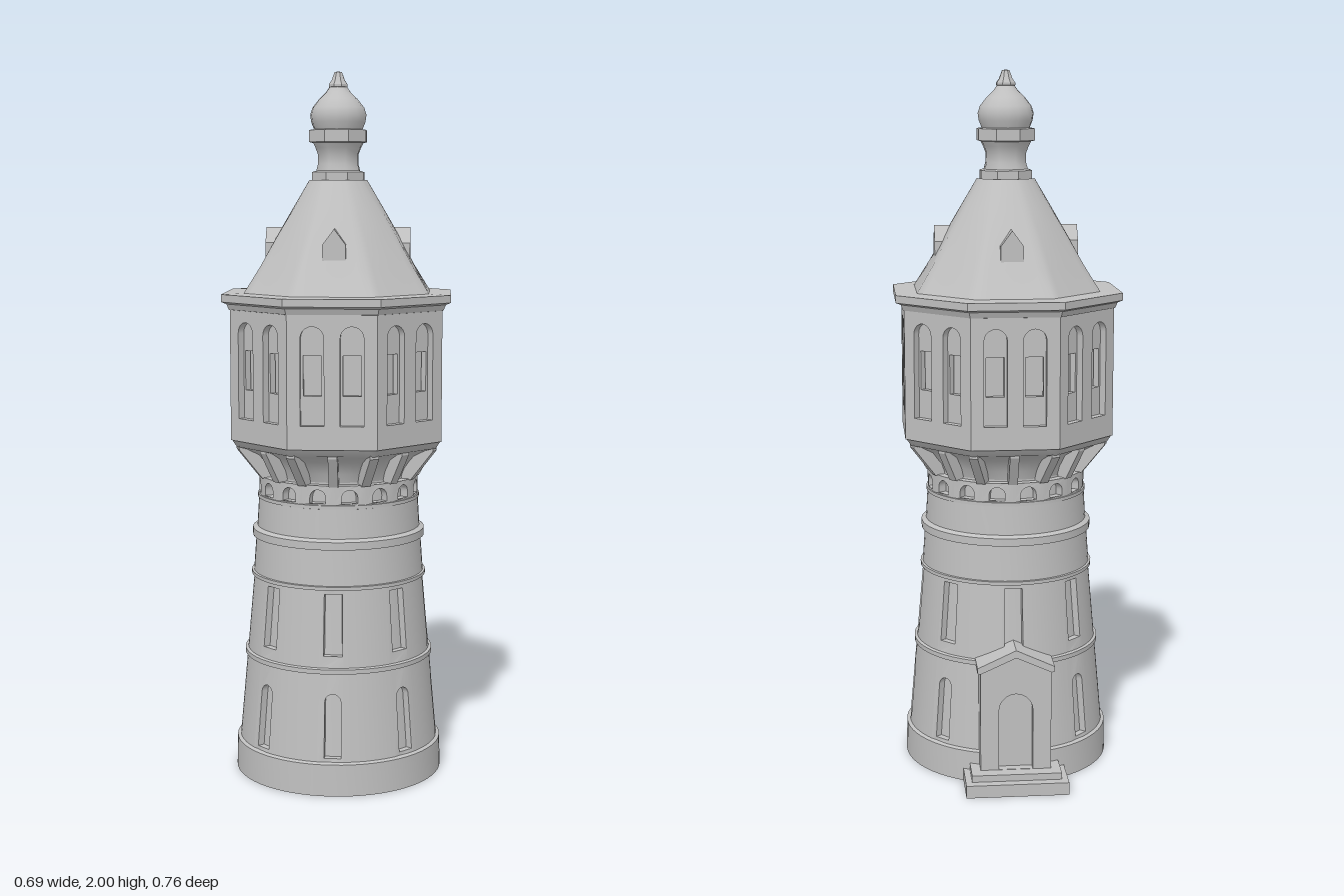
import * as THREE from 'three';
import { toCreasedNormals } from 'three/addons/utils/BufferGeometryUtils.js';

const stone = new THREE.MeshStandardMaterial({ color: 0xc0c0c0 });
stone.name = 'stone grey';
const STEP = Math.PI / 4, HALF = STEP / 2;

function add(parent, name, geometry, crease = 0.5) {
  const mesh = new THREE.Mesh(toCreasedNormals(geometry, crease), stone);
  mesh.name = name;
  parent.add(mesh);
  return mesh;
}

// Turned form; each profile point is [radius, y, k], k = 0 round to 1 octagonal
function turned(profile, segments = 64, start = 0, length = Math.PI * 2) {
  const g = new THREE.LatheGeometry(profile.map(p => new THREE.Vector2(p[0], p[1])), segments, start, length);
  const pos = g.attributes.position;
  for (let i = 0; i < pos.count; i++) {
    const k = profile[i % profile.length][2] || 0;
    if (!k) continue;
    const x = pos.getX(i), z = pos.getZ(i);
    const a = (Math.atan2(x, z) + Math.PI * 4) % STEP;
    const s = 1 - k + k * Math.cos(HALF) / Math.cos(a - HALF);
    pos.setX(i, x * s);
    pos.setZ(i, z * s);
  }
  return g;
}

const polygon = pts => new THREE.Shape(pts.map(p => new THREE.Vector2(p[0], p[1])));

// Opening with a round or flat head
function opening(cx, w, y0, y1, round = true) {
  const h = w / 2, pts = [[cx - h, y0], [cx + h, y0]];
  if (round) for (let i = 0; i <= 10; i++) {
    const a = Math.PI * i / 10;
    pts.push([cx + h * Math.cos(a), y1 - h + h * Math.sin(a)]);
  }
  else pts.push([cx + h, y1], [cx - h, y1]);
  return new THREE.Path(pts.map(p => new THREE.Vector2(p[0], p[1])));
}

// Flat extrusion whose front lies at z = front
function slab(shape, front, depth, holes = []) {
  shape.holes.push(...holes);
  return new THREE.ExtrudeGeometry(shape, { depth, bevelEnabled: false }).translate(0, 0, front - depth);
}

const rect = (w, y0, y1) => polygon([[-w / 2, y0], [w / 2, y0], [w / 2, y1], [-w / 2, y1]]);

// Panel with an opening, bent round the tower's tapering wall
function bentPanel(r0, r1, y0, y1, half, depth, hole) {
  const rm = (r0 + r1) / 2, n = 8, pts = [];
  for (let i = 0; i <= n; i++) pts.push([rm * half * (2 * i / n - 1), y0]);
  for (let i = n; i >= 0; i--) pts.push([rm * half * (2 * i / n - 1), y1]);
  const g = slab(polygon(pts), 0, depth, [hole]);
  const pos = g.attributes.position;
  for (let i = 0; i < pos.count; i++) {
    const y = pos.getY(i), a = pos.getX(i) / rm;
    const r = r0 + (r1 - r0) * (y - y0) / (y1 - y0) + pos.getZ(i);
    pos.setXYZ(i, r * Math.sin(a), y, r * Math.cos(a));
  }
  return g;
}

// Round storey with eight recessed windows
function windowStorey(parent, name, r0, r1, y0, y1, makeHole) {
  const half = 0.15, depth = 0.02;
  const storey = new THREE.Group();
  storey.name = name;
  parent.add(storey);
  add(storey, 'windowBack', turned([[r0 - depth, y0], [r1 - depth, y1]]));
  for (let i = 0; i < 8; i++) {
    const a = HALF + i * STEP;
    add(storey, 'windowPanel', bentPanel(r0, r1, y0, y1, half, depth, makeHole())).rotation.y = a;
    add(storey, 'wall', turned([[r0, y0], [r1, y1]], 8, a + half, STEP - 2 * half));
  }
}

function buildShaft(tower) {
  add(tower, 'plinth', turned([[0, 0], [0.298, 0], [0.296, 0.09], [0.286, 0.095], [0.26, 0.095]]));
  windowStorey(tower, 'lowerStorey', 0.287, 0.264, 0.09, 0.345, () => opening(0, 0.046, 0.105, 0.285));
  add(tower, 'lowerBand', turned([[0.25, 0.34], [0.271, 0.342], [0.271, 0.355], [0.25, 0.362]]));
  windowStorey(tower, 'upperStorey', 0.263, 0.243, 0.355, 0.58, () => opening(0, 0.052, 0.39, 0.563, false));
  add(tower, 'middleBand', turned([[0.23, 0.573], [0.251, 0.575], [0.251, 0.585], [0.23, 0.588]]));
  add(tower, 'upperWall', turned([[0.245, 0.58], [0.237, 0.69]]));
  add(tower, 'upperBand', turned([[0.23, 0.685], [0.247, 0.688], [0.247, 0.71], [0.234, 0.717], [0.229, 0.8]]));
  add(tower, 'arcadeSill', turned([[0.22, 0.797], [0.232, 0.8], [0.232, 0.81], [0.2, 0.812]]));
}

function buildCorbels(tower) {
  // Small blind arcade
  add(tower, 'arcadeBack', turned([[0.205, 0.805], [0.205, 0.87]]));
  for (let i = 0; i < 16; i++) {
    add(tower, 'arcadeArch', bentPanel(0.228, 0.228, 0.81, 0.865, HALF / 2, 0.025,
      opening(0, 0.046, 0.815, 0.853))).rotation.y = (i + 0.5) * HALF;
  }
  // Flare from round shaft to octagonal drum
  add(tower, 'flare', turned([[0.2, 0.86, 0], [0.215, 0.895, 0.3], [0.245, 0.93, 0.8],
    [0.28, 0.948, 1], [0.303, 0.955, 1], [0.32, 0.98, 1], [0.27, 0.985, 1]]), 0.7);
  for (let i = 0; i < 16; i++) {
    const s = i % 2 ? 0.93 : 1;
    const side = polygon([[0.19, 0.862], [0.232, 0.862], [0.3 * s, 0.948], [0.3 * s, 0.962], [0.19, 0.962]]);
    const g = slab(side, 0.013, 0.026).rotateY(-Math.PI / 2);
    add(tower, 'bracket', g).rotation.y = i * HALF;
  }
}

function buildDrum(tower) {
  const R = 0.32, front = R * Math.cos(HALF), w = 2 * R * Math.sin(HALF);
  add(tower, 'drumCore', turned([[0.274, 0.97, 1], [0.274, 1.36, 1]]));
  for (let i = 0; i < 8; i++) {
    const face = new THREE.Group();
    face.name = 'drumFace';
    face.rotation.y = HALF + i * STEP;
    tower.add(face);
    add(face, 'archedWall', slab(rect(w, 0.975, 1.35), front, 0.02,
      [-0.054, 0.054].map(x => opening(x, 0.064, 1.04, 1.31))));
    add(face, 'windowWall', slab(rect(w * 0.92, 0.98, 1.35), front - 0.02, 0.018,
      [-0.054, 0.054].map(x => opening(x, 0.05, 1.12, 1.23, false))));
  }
  add(tower, 'eave', turned([[0.3, 1.338, 1], [0.323, 1.342, 1], [0.33, 1.358, 1], [0.345, 1.364, 1],
    [0.345, 1.385, 1], [0.27, 1.387, 1]]));
}

function buildRoof(tower) {
  add(tower, 'roof', turned([[0.28, 1.386, 1], [0.231, 1.46, 0.85], [0.183, 1.54, 0.6],
    [0.132, 1.62, 0.35], [0.082, 1.7, 0.1]]), 0.8);
  for (let i = 0; i < 4; i++) {
    const house = polygon([[-0.032, 1.45], [0.032, 1.45], [0.032, 1.525], [0, 1.568], [-0.032, 1.525]]);
    add(tower, 'dormer', slab(house, 0.204, 0.09)).rotation.y = HALF + i * 2 * STEP;
  }
  // Octagonal lantern, onion dome and finial
  add(tower, 'lanternCollar', turned([[0.06, 1.685], [0.078, 1.69], [0.078, 1.722], [0.06, 1.727]], 8));
  add(tower, 'lanternNeck', turned([[0.067, 1.72], [0.06, 1.745], [0.06, 1.77], [0.068, 1.79], [0.076, 1.805]], 8), 0.9);
  add(tower, 'lanternBand', turned([[0.06, 1.8], [0.086, 1.805], [0.086, 1.838], [0.06, 1.842]], 8));
  add(tower, 'onionDome', turned([[0.066, 1.835], [0.076, 1.86], [0.079, 1.88], [0.073, 1.9], [0.054, 1.924],
    [0.035, 1.942], [0.024, 1.958]], 16), 0.9);
  add(tower, 'finial', turned([[0.018, 1.953], [0.028, 1.957], [0.028, 1.964], [0.02, 1.975], [0.011, 1.998], [0, 2]], 8));
}

function buildPorch(tower) {
  const porch = new THREE.Group();
  porch.name = 'porch';
  porch.rotation.y = Math.PI + HALF;
  tower.add(porch);
  const gable = () => polygon([[-0.1, 0.04], [0.1, 0.04], [0.1, 0.35], [0, 0.395], [-0.1, 0.35]]);
  add(porch, 'porchBody', slab(gable(), 0.3, 0.12));
  add(porch, 'porchFront', slab(gable(), 0.325, 0.025, [opening(0, 0.096, 0.056, 0.28)]));
  add(porch, 'porchRoof', slab(polygon([[-0.109, 0.345], [-0.1, 0.343], [0, 0.388], [0.1, 0.343], [0.109, 0.345],
    [0.109, 0.36], [0, 0.41], [-0.109, 0.36]]), 0.331, 0.13));
  add(porch, 'lowerStep', slab(rect(0.29, 0, 0.036), 0.388, 0.19));
  add(porch, 'upperStep', slab(rect(0.254, 0.036, 0.055), 0.362, 0.16));
}

export function createModel() {
  const model = new THREE.Group();
  model.name = 'waterTower';
  const tower = new THREE.Group();
  tower.name = 'tower';
  tower.position.z = 0.032;
  model.add(tower);
  buildShaft(tower);
  buildCorbels(tower);
  buildDrum(tower);
  buildRoof(tower);
  buildPorch(tower);
  return model;
}
